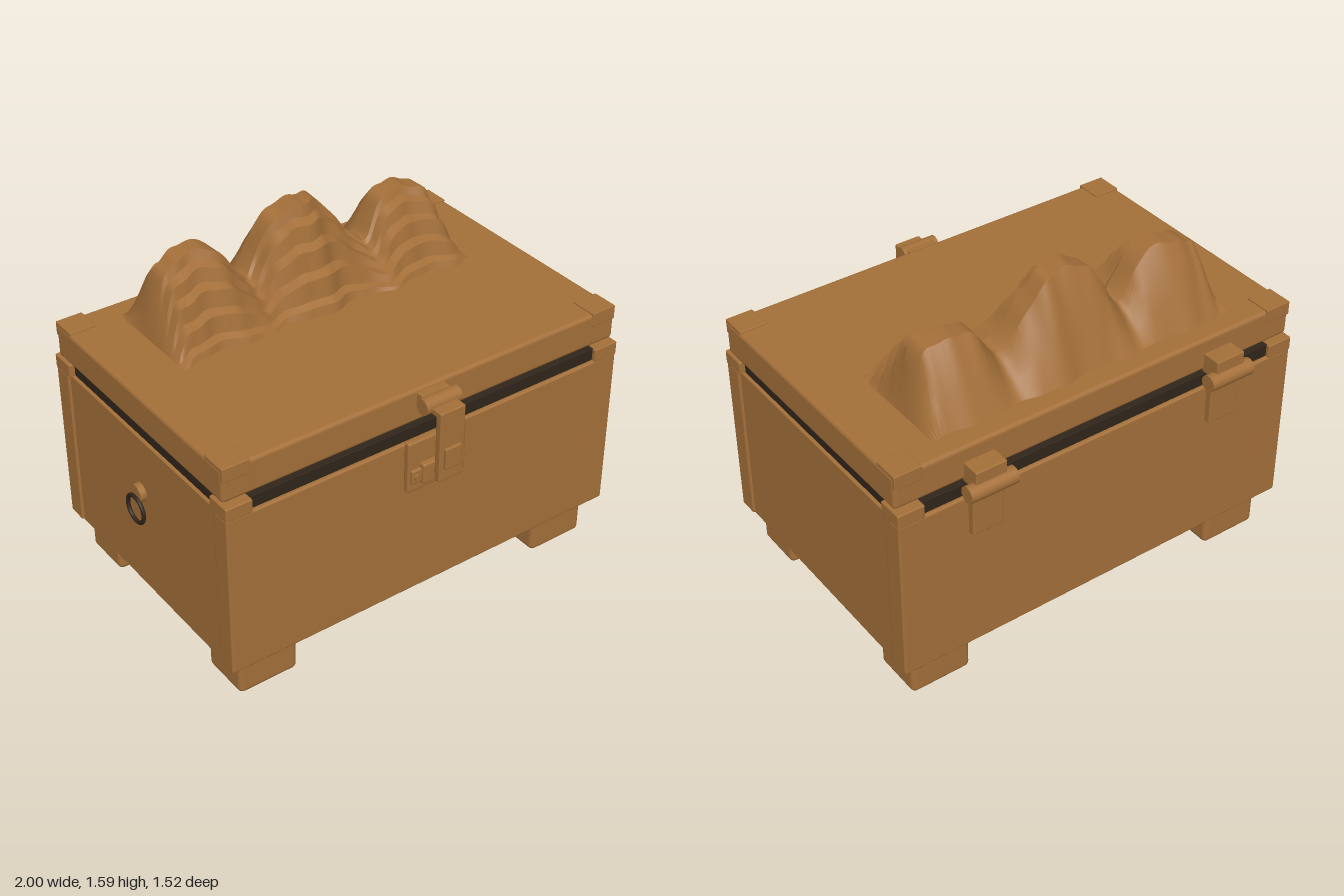
import * as THREE from 'three';
import { toCreasedNormals } from 'three/addons/utils/BufferGeometryUtils.js';
import { RoundedBoxGeometry } from 'three/addons/geometries/RoundedBoxGeometry.js';

const CX = 0.015; // the chest's own middle in x
const wood = new THREE.MeshStandardMaterial({ color: 0xa36f39 });
wood.name = 'warm brown';
const dark = new THREE.MeshStandardMaterial({ color: 0x30251b });
dark.name = 'dark brown';

export function createModel() {
  const model = new THREE.Group();
  model.name = 'chest';

  const add = (name, geometry, material = wood) => {
    const mesh = new THREE.Mesh(geometry, material);
    mesh.name = name;
    model.add(mesh);
    return mesh;
  };
  // Rounded box given by its limits on each axis
  const box = (name, [x0, x1], [y0, y1], [z0, z1], r = 0.006, material = wood) => {
    const m = add(name, new RoundedBoxGeometry(x1 - x0, y1 - y0, z1 - z0, 3, r), material);
    m.position.set((x0 + x1) / 2, (y0 + y1) / 2, (z0 + z1) / 2);
    return m;
  };
  // Cylinder lying along an axis
  const rod = (name, r, length, axis, x, y, z) => {
    const m = add(name, new THREE.CylinderGeometry(r, r, length, 32));
    if (axis === 'x') m.rotation.z = Math.PI / 2;
    if (axis === 'z') m.rotation.x = Math.PI / 2;
    m.position.set(x, y, z);
    return m;
  };
  // Span measured outward from the chest's middle, on either side
  const span = (side, a, b) => (side > 0 ? [CX + a, CX + b] : [CX - b, CX - a]);

  // Body walls and floor
  box('frontWall', [-0.968, 0.998], [0.191, 0.961], [0.535, 0.631], 0.01);
  box('backWall', [-0.968, 0.998], [0.191, 0.961], [-0.677, -0.578], 0.01);
  box('floor', [-0.885, 0.915], [0.158, 0.23], [-0.575, 0.535], 0.004);

  for (const side of [-1, 1]) {
    const name = side > 0 ? 'left' : 'right';
    box(name + 'SideWall', span(side, 0.87, 0.973), [0.191, 0.961], [-0.58, 0.537], 0.004);

    for (const [end, foot, post, tab] of [
      ['Front', [0.34, 0.577], [0.515, 0.632], [0.485, 0.607]],
      ['Back', [-0.625, -0.385], [-0.678, -0.56], [-0.655, -0.533]],
    ]) {
      box(name + end + 'Foot', span(side, 0.635, 0.918), [0, 0.163], foot, 0.025);
      box(name + end + 'CornerBlock', span(side, 0.863, 0.984), [0.955, 1.018], post);
      box(name + end + 'LidCorner', span(side, 0.855, 0.978), [1.123, 1.187], tab, 0.004);
    }

    // Dark seal strip along the side wall, between the corner blocks
    box(name + 'Seal', span(side, 0.88, 0.958), [0.94, 1.017], [-0.57, 0.525], 0.002, dark);

    // Hinges on the back
    const hx = CX + side * 0.595;
    rod(name + 'HingeBarrel', 0.037, 0.22, 'x', hx, 1.016, -0.723);
    box(name + 'HingeUpperLeaf', [hx - 0.072, hx + 0.072], [1.016, 1.108], [-0.732, -0.64]);
    box(name + 'HingeLowerLeaf', [hx - 0.072, hx + 0.072], [0.783, 1.016], [-0.707, -0.67]);
  }

  // Dark seal strips along the front and back walls
  box('frontSeal', [-0.86, 0.89], [0.94, 1.017], [0.53, 0.613], 0.002, dark);
  box('backSeal', [-0.86, 0.89], [0.94, 1.017], [-0.66, -0.575], 0.002, dark);

  // Lid
  box('lid', [-0.965, 0.996], [1.025, 1.18], [-0.65, 0.604], 0.018);

  // Latch on the front
  const around = (w) => [CX - w, CX + w];
  box('latchPlate', around(0.146), [0.731, 0.974], [0.625, 0.658], 0.01);
  box('latchLugs', around(0.135), [0.778, 0.845], [0.65, 0.672], 0.008);
  box('latchKeeper', around(0.088), [0.768, 0.865], [0.65, 0.684], 0.01);
  for (const side of [-1, 1]) rod('latchScrew', 0.014, 0.02, 'z', CX + side * 0.112, 0.812, 0.672);
  box('latchMount', around(0.07), [1.1, 1.165], [0.595, 0.66]);
  rod('latchBarrel', 0.036, 0.175, 'x', CX, 1.133, 0.66);
  box('latchArm', around(0.062), [1.107, 1.136], [0.66, 0.748]);
  box('latchHasp', around(0.062), [0.806, 1.136], [0.716, 0.748]);
  box('latchButton', around(0.04), [0.866, 0.966], [0.74, 0.762]);

  // Ring pull on the right side
  rod('ringStud', 0.042, 0.03, 'x', -0.972, 0.691, -0.03);
  const ring = add('ringPull', new THREE.TorusGeometry(0.062, 0.009, 12, 48), dark);
  ring.rotation.y = Math.PI / 2;
  ring.position.set(-0.991, 0.616, -0.03);

  // Terraced mountains on the lid: ridge height along x, and a stepped section from back to front
  const ridge = new THREE.SplineCurve([
    [-0.72, 0], [-0.65, 0.262], [-0.6, 0.3], [-0.53, 0.335], [-0.42, 0.335], [-0.36, 0.275], [-0.3, 0.19],
    [-0.25, 0.137], [-0.2, 0.2], [-0.15, 0.3], [-0.09, 0.37], [-0.02, 0.398], [0.07, 0.398], [0.14, 0.36],
    [0.2, 0.28], [0.27, 0.19], [0.34, 0.128], [0.4, 0.21], [0.45, 0.275], [0.51, 0.303], [0.6, 0.298],
    [0.68, 0.255], [0.755, 0],
  ].map(([x, h]) => new THREE.Vector2(x, h)));
  const section = [
    [-0.56, 0], [-0.5, 0.4], [-0.44, 0.78], [-0.39, 1], [-0.3, 1], [-0.285, 0.88], [-0.24, 0.84], [-0.225, 0.66],
    [-0.18, 0.62], [-0.165, 0.4], [-0.12, 0.36], [-0.105, 0.14], [-0.07, 0.1], [-0.06, 0],
  ];
  const columns = 132;
  const slope = new THREE.PlaneGeometry(1, 1, columns, section.length - 1);
  const p = slope.attributes.position;
  for (let j = 0; j < section.length; j++) {
    for (let i = 0; i <= columns; i++) {
      const { x, y } = ridge.getPoint(i / columns);
      const wave = 0.017 * Math.sin(18 * x + 1.7) + 0.006 * Math.sin(41 * x);
      const [z, rise] = section[j];
      const ripple = 1 + 0.018 * Math.sin(55 * x + 1.3 * Math.floor(j / 2));
      p.setXYZ(j * (columns + 1) + i, x, 1.181 + Math.max(0, y) * rise * ripple, z + wave * (z < -0.38 ? 0.6 : 1));
    }
  }
  add('mountains', toCreasedNormals(slope, 0.5));

  return model;
}
